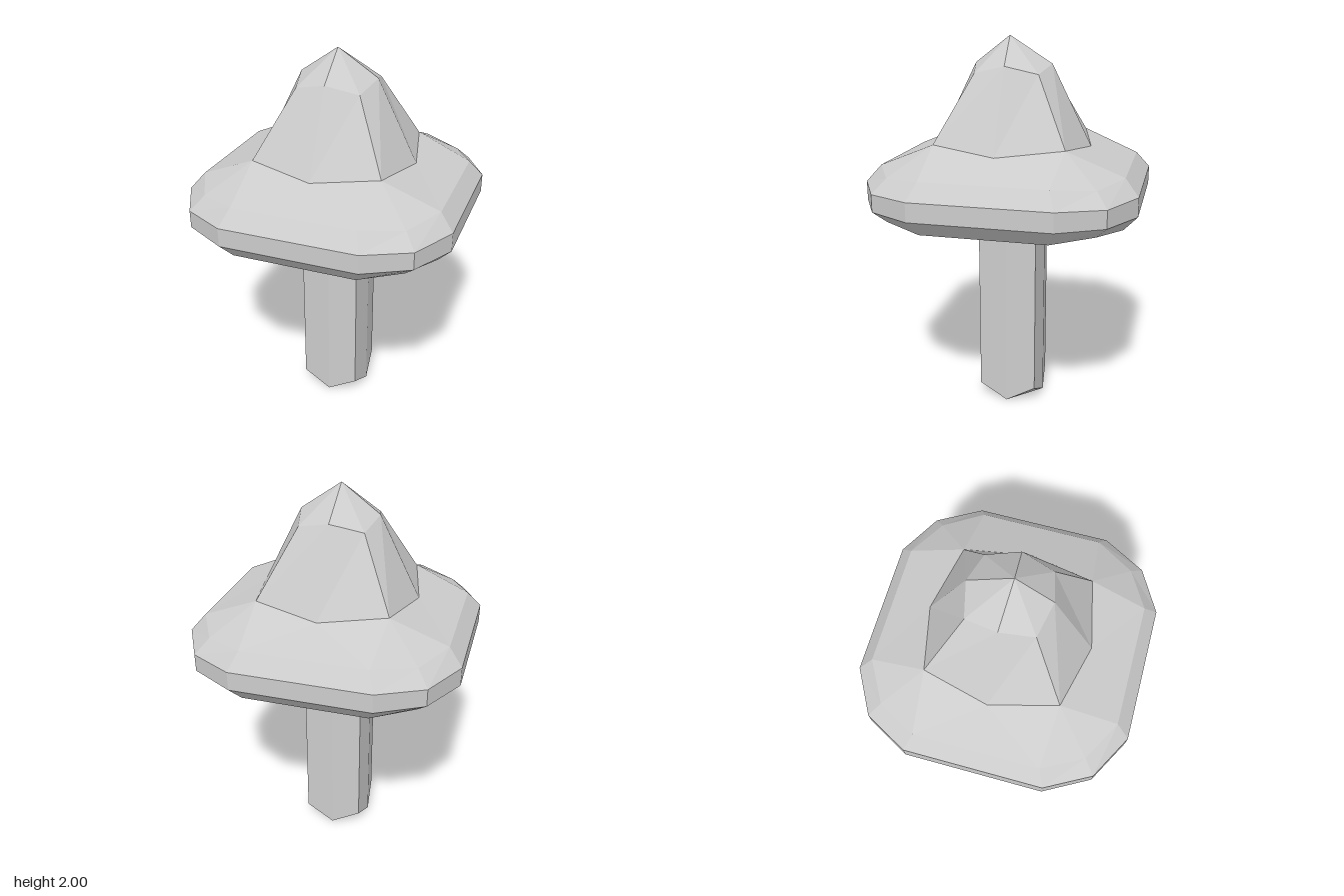
import * as THREE from 'three';

const material = new THREE.MeshStandardMaterial({ color: 0xcccccc, flatShading: true });

// Turns a point by k quarter turns about y (front towards left).
const turn = ([x, y, z], k) => {
  for (let i = 0; i < k; i++) [x, z] = [z, -x];
  return [x, y, z];
};

// Mesh from convex polygons covering one quarter, repeated four times.
// Points flagged as fixed stay where they are.
function quarteredMesh(name, faces, fixed = []) {
  const pos = [];
  for (let k = 0; k < 4; k++) {
    for (const face of faces) {
      const p = face.map((v) => (fixed.includes(v) ? v : turn(v, k)));
      for (let i = 1; i < p.length - 1; i++) pos.push(...p[0], ...p[i], ...p[i + 1]);
    }
  }
  const geometry = new THREE.BufferGeometry();
  geometry.setAttribute('position', new THREE.Float32BufferAttribute(pos, 3));
  geometry.computeVertexNormals();
  const mesh = new THREE.Mesh(geometry, material);
  mesh.name = name;
  return mesh;
}

// Quarter of a twelve-sided brim outline: side left, side right, corner, next side.
const brimRow = (a, b, y, c, yc) => [[-b, y, a], [b, y, a], [c, yc, c], [a, y, b]];

// Quarter of an eight-sided outline: left diagonal, axis point, right diagonal.
const octRow = (r, y, d, yd) => [[-d, yd, d], [0, y, r], [d, yd, d]];

// Quads between two rows, lower row first.
function band(low, high) {
  return low.slice(1).map((v, i) => [low[i], v, high[i + 1], high[i]]);
}

// Faces joining a brim row to an eight-sided row above it.
function shoulder([l, r, c, n], [d0, a, d1]) {
  return [[a, d0, l, r, d1], [d1, r, c, n]];
}

const flip = (faces) => faces.map((f) => [...f].reverse());

export function createModel() {
  const group = new THREE.Group();
  group.name = 'mushroom';

  // Stem: squarish octagon with cut corners at both ends
  const foot = octRow(0.173, 0, 0.155, 0.08);
  const neck = octRow(0.173, 1.32, 0.155, 1.235);
  const nextFoot = turn(foot[1], 1);
  group.add(quarteredMesh('stem', [
    ...band(foot, neck),
    [foot[1], nextFoot, foot[2]],
    [[0, 0, 0], nextFoot, foot[1]],
  ]));

  // Brim: bevelled band, sloping top and hollow underside
  const rows = [
    brimRow(0.625, 0.315, 1.1, 0.52, 1.12),
    brimRow(0.695, 0.35, 1.18, 0.573, 1.18),
    brimRow(0.695, 0.35, 1.277, 0.573, 1.27),
    brimRow(0.625, 0.315, 1.36, 0.515, 1.34),
  ];
  const crownBase = octRow(0.413, 1.445, 0.335, 1.48);
  const hollow = octRow(0.4, 1.25, 0.305, 1.285);
  const brim = [0, 1, 2].flatMap((i) => band(rows[i], rows[i + 1]));
  group.add(quarteredMesh('capBrim', [
    ...brim,
    ...shoulder(rows[3], crownBase),
    ...flip(shoulder(rows[0], hollow)),
    ...flip(band(hollow, neck)),
  ]));

  // Crown: tapering eight-sided peak with a blunt tip slightly off centre
  const crownTop = octRow(0.203, 1.86, 0.165, 1.82);
  const tip = [0, 2, 0.02];
  group.add(quarteredMesh('capCrown', [
    ...band(crownBase, crownTop),
    [crownTop[0], crownTop[1], tip],
    [crownTop[1], crownTop[2], tip],
  ], [tip]));

  return group;
}
